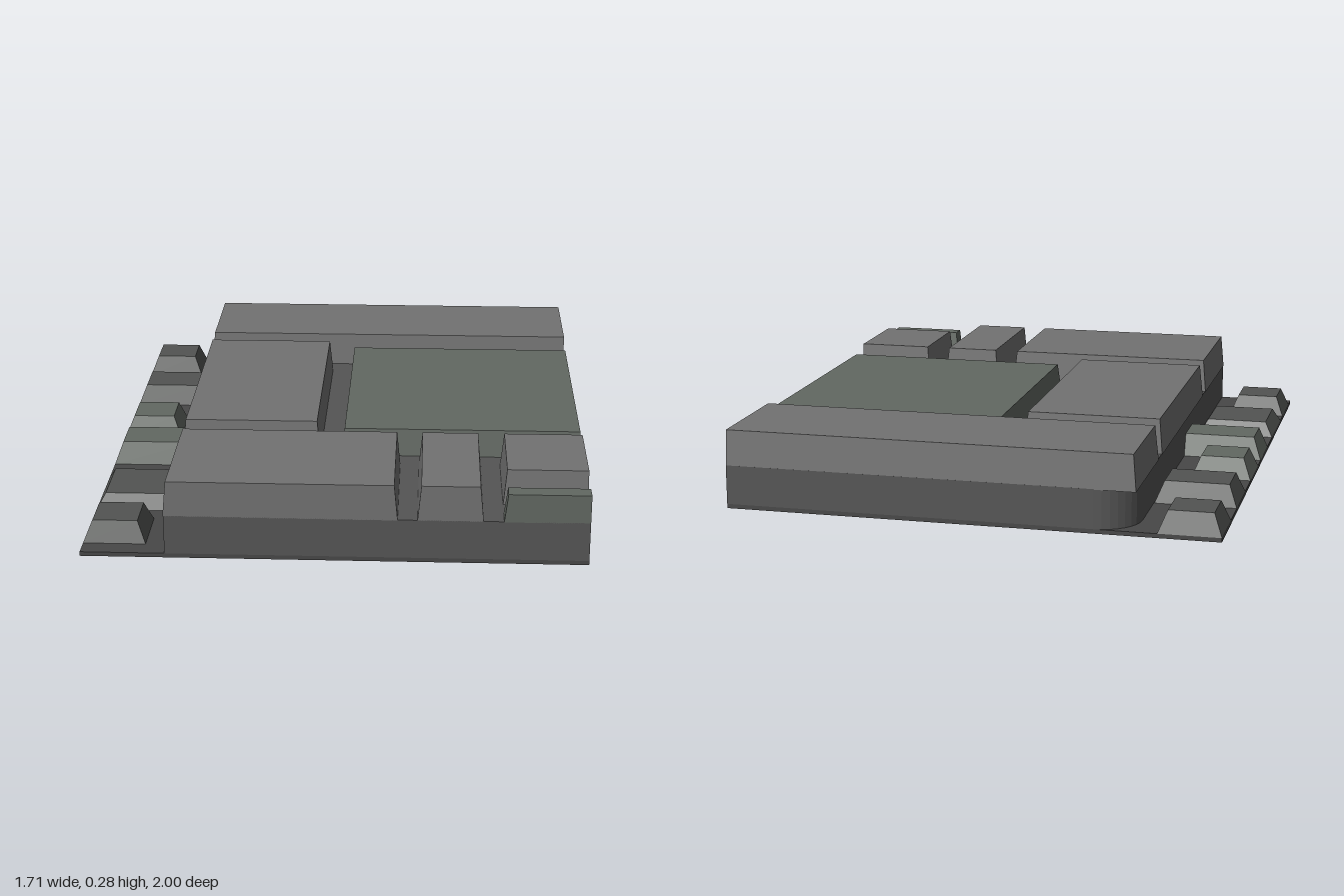
import * as THREE from 'three';

const paint = (color) => new THREE.MeshStandardMaterial({ color, flatShading: true });
const stone = paint(0x727272);
const mossy = paint(0x626862);
const mortar = paint(0x555555);
const ground = paint(0x484848);
const shade = paint(0x525452);

// Box between two corners whose four sides lean in by [minX, maxX, minZ, maxZ] at the top.
function taperedBox(name, [x0, x1], [y0, y1], [z0, z1], lean, material) {
  const geometry = new THREE.BoxGeometry(1, 1, 1);
  const p = geometry.attributes.position;
  for (let i = 0; i < p.count; i++) {
    const top = p.getY(i) > 0 ? 1 : 0;
    const x = p.getX(i) < 0 ? x0 + lean[0] * top : x1 - lean[1] * top;
    const z = p.getZ(i) < 0 ? z0 + lean[2] * top : z1 - lean[3] * top;
    p.setXYZ(i, x, top ? y1 : y0, z);
  }
  geometry.computeVertexNormals();
  const mesh = new THREE.Mesh(geometry, material);
  mesh.name = name;
  return mesh;
}

// Raised bed with one rounded corner at the back.
function createBed() {
  const r = 0.14;
  const s = new THREE.Shape();
  s.moveTo(-0.57, -1);
  s.lineTo(0.855, -1);
  s.lineTo(0.855, 1);
  s.lineTo(-0.57 + r, 1);
  s.absarc(-0.57 + r, 1 - r, r, Math.PI / 2, Math.PI, false);
  s.closePath();
  const geometry = new THREE.ExtrudeGeometry(s, { depth: 0.137, bevelEnabled: false, curveSegments: 4 });
  geometry.rotateX(-Math.PI / 2);
  geometry.translate(0, 0.015, 0);
  const mesh = new THREE.Mesh(geometry, mortar);
  mesh.name = 'raisedBed';
  return mesh;
}

export function createModel() {
  const model = new THREE.Group();
  model.add(taperedBox('groundSlab', [-0.857, 0.855], [0, 0.015], [-1, 1], [0, 0, 0, 0], ground));
  model.add(createBed());

  // Paving slabs: x range, z range, top, lean per side, material
  const t = 0.012;
  const slabs = [
    [[-0.572, 0.855], [-1, -0.575], 0.275, [t, 0, t, t], stone],
    [[-0.572, -0.075], [-0.505, 0.425], 0.275, [t, t, t, t], stone],
    [[0, 0.855], [-0.505, 0.425], 0.25, [t, 0, t, t], mossy],
    [[-0.572, 0.214], [0.495, 1], 0.275, [t, t, t, 0], stone],
    [[0.28, 0.5], [0.495, 1], 0.275, [t, t, t, 0], stone],
    [[0.568, 0.855], [0.495, 0.855], 0.275, [t, 0, t, t], stone],
    [[0.568, 0.855], [0.927, 1], 0.25, [t, 0, t, 0], mossy],
  ];
  const paving = new THREE.Group();
  paving.name = 'pavingSlabs';
  slabs.forEach(([x, z, top, lean, material], i) =>
    paving.add(taperedBox(`pavingSlab${i + 1}`, x, [0.15, top], z, lean, material)));
  model.add(paving);

  // Row of edging stones: right end, z range, top, lean on +x side, material
  const e = 0.03;
  const stones = [
    [-0.643, [-1, -0.79], 0.09, e, shade],
    [-0.572, [-0.65, -0.43], 0.09, e, shade],
    [-0.643, [-0.29, -0.075], 0.09, e, mossy],
    [-0.57, [0, 0.212], 0.095, 0, mossy],
    [-0.572, [0.355, 0.642], 0.068, e, shade],
    [-0.643, [0.712, 0.928], 0.088, e, shade],
  ];
  const edging = new THREE.Group();
  edging.name = 'edgingStones';
  stones.forEach(([x1, z, top, lean, material], i) =>
    edging.add(taperedBox(`edgingStone${i + 1}`, [-0.857, x1], [0.015, top], z, [e, lean, e, e], material)));
  model.add(edging);

  return model;
}
